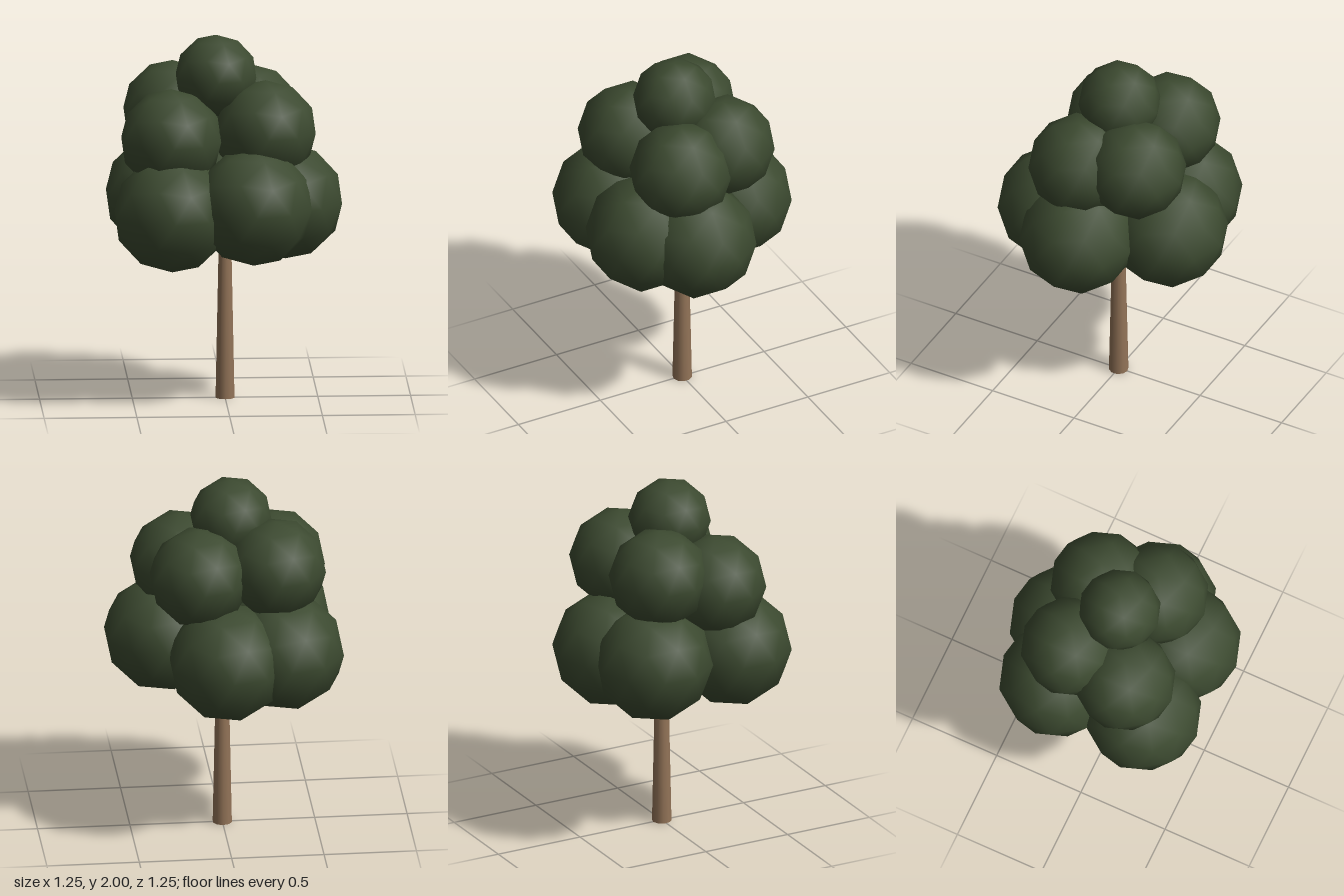
import * as THREE from 'three';

export function createModel() {
  const tree = new THREE.Group();
  tree.name = 'tree';
  const leaf = new THREE.MeshStandardMaterial({ color: 0x3c4a30 });
  leaf.name = 'leaf green';
  const bark = new THREE.MeshStandardMaterial({ color: 0x937458 });
  bark.name = 'bark brown';

  // Trunk: slim tapering pole that ends inside the crown
  const trunkHeight = 1.3;
  const trunk = new THREE.Mesh(new THREE.CylinderGeometry(0.026, 0.053, trunkHeight, 10), bark);
  trunk.name = 'trunk';
  trunk.position.y = trunkHeight / 2;
  tree.add(trunk);

  // Foliage ball: smooth low-poly icosphere with a corner pointing straight up
  const ball = new THREE.IcosahedronGeometry(1, 1);
  ball.rotateZ(-Math.atan2(1, (1 + Math.sqrt(5)) / 2));

  // Crown layers: each clump is x, y, z, radius
  const layers = {
    lowerFoliage: [
      [0, 1.07, -0.305, 0.324],
      [-0.32, 1.085, -0.22, 0.322],
      [0.32, 1.095, 0.075, 0.318],
      [0.14, 1.11, 0.3, 0.324],
      [-0.298, 1.07, 0.272, 0.322],
    ],
    middleFoliage: [
      [-0.275, 1.55, -0.165, 0.274],
      [0.14, 1.52, -0.18, 0.276],
      [-0.298, 1.455, 0.165, 0.279],
      [0.213, 1.49, 0.122, 0.279],
    ],
    topFoliage: [[-0.05, 1.775, 0.02, 0.225]],
  };
  for (const [name, clumps] of Object.entries(layers)) {
    const layer = new THREE.Group();
    layer.name = name;
    for (const [x, y, z, r] of clumps) {
      const clump = new THREE.Mesh(ball, leaf);
      clump.name = 'foliageClump';
      clump.position.set(x, y, z);
      clump.scale.setScalar(r);
      layer.add(clump);
    }
    tree.add(layer);
  }
  return tree;
}
